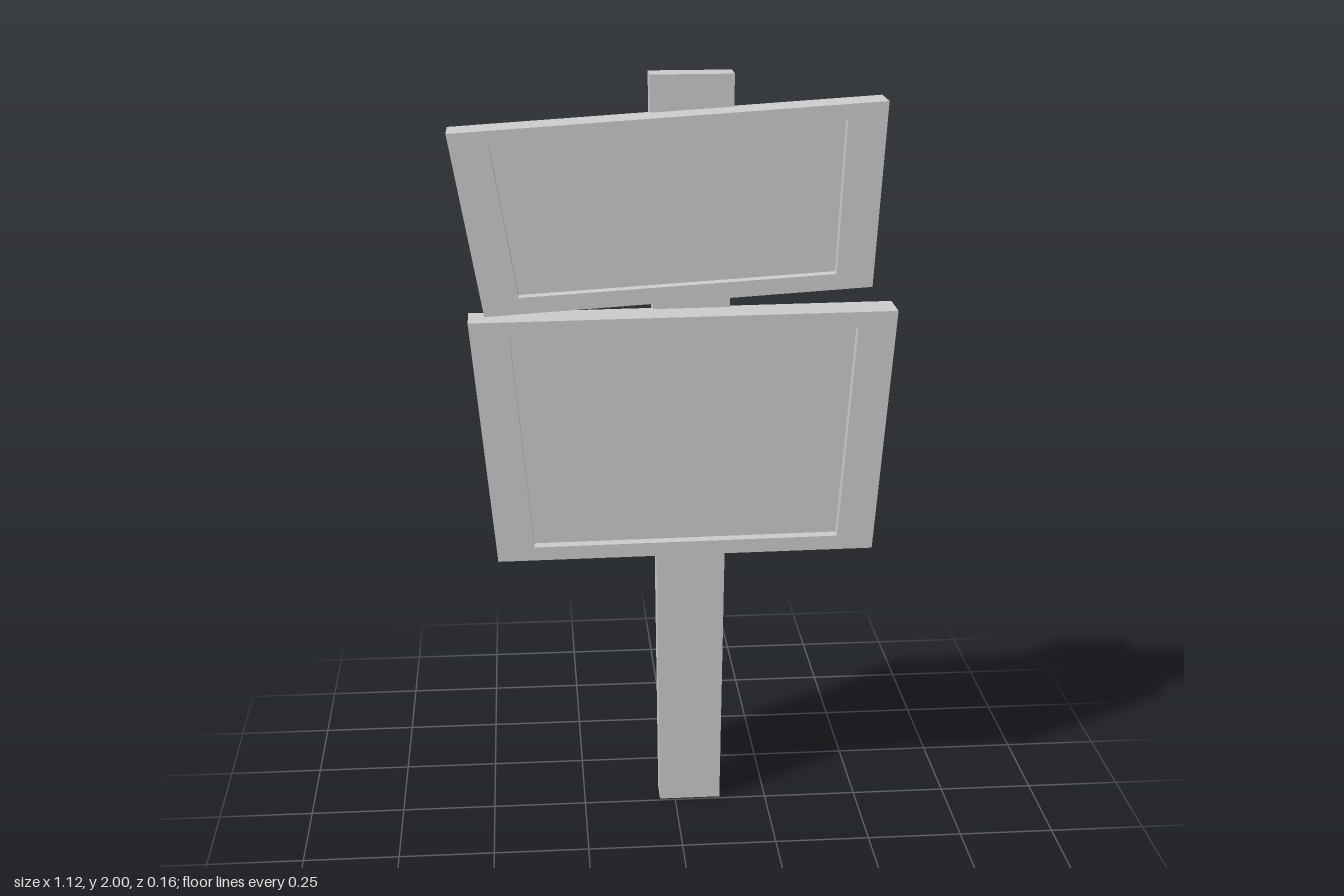
import * as THREE from 'three';

const material = new THREE.MeshStandardMaterial({ color: 0xcccccc, flatShading: true });

// Closed solid through four-cornered rings, each { corners, z }.
// Corners run anticlockwise seen from the front; the first ring is the back.
function ringSolid(name, rings) {
  const loops = rings.map(({ corners, z }) => corners.map(([x, y]) => [x, y, z]));
  const positions = [];
  const quad = (a, b, c, d) => positions.push(...a, ...b, ...c, ...a, ...c, ...d);

  for (let r = 0; r < loops.length - 1; r++) {
    for (let i = 0; i < 4; i++) {
      const j = (i + 1) % 4;
      quad(loops[r][i], loops[r][j], loops[r + 1][j], loops[r + 1][i]);
    }
  }
  quad(...[...loops[0]].reverse());
  quad(...loops[loops.length - 1]);

  const geometry = new THREE.BufferGeometry();
  geometry.setAttribute('position', new THREE.Float32BufferAttribute(positions, 3));
  geometry.computeVertexNormals();
  const mesh = new THREE.Mesh(geometry, material);
  mesh.name = name;
  return mesh;
}

// Crooked board with a raised border around a sunken panel
const BACK = -0.021, FRONT = 0.08, PANEL = 0.05;
function signBoard(name, outer, inner) {
  return ringSolid(name, [
    { corners: outer, z: BACK },
    { corners: outer, z: FRONT },
    { corners: inner, z: FRONT },
    { corners: inner, z: PANEL },
  ]);
}

export function createModel() {
  const model = new THREE.Group();
  model.name = 'signpost';

  // Post, widening towards the top
  const post = [[-0.042, 0], [0.124, 0], [0.148, 2], [-0.063, 2]];
  model.add(ringSolid('post', [
    { corners: post, z: -0.08 },
    { corners: post, z: -0.008 },
  ]));

  // Upper, tilted board
  model.add(signBoard('upperBoard',
    [[-0.484, 1.418], [0.492, 1.476], [0.519, 1.942], [-0.563, 1.876]],
    [[-0.397, 1.465], [0.4, 1.511], [0.418, 1.897], [-0.46, 1.844]]));

  // Lower, larger board
  model.add(signBoard('lowerBoard',
    [[-0.468, 0.76], [0.513, 0.769], [0.561, 1.412], [-0.526, 1.402]],
    [[-0.373, 0.797], [0.42, 0.806], [0.46, 1.372], [-0.423, 1.363]]));

  return model;
}
